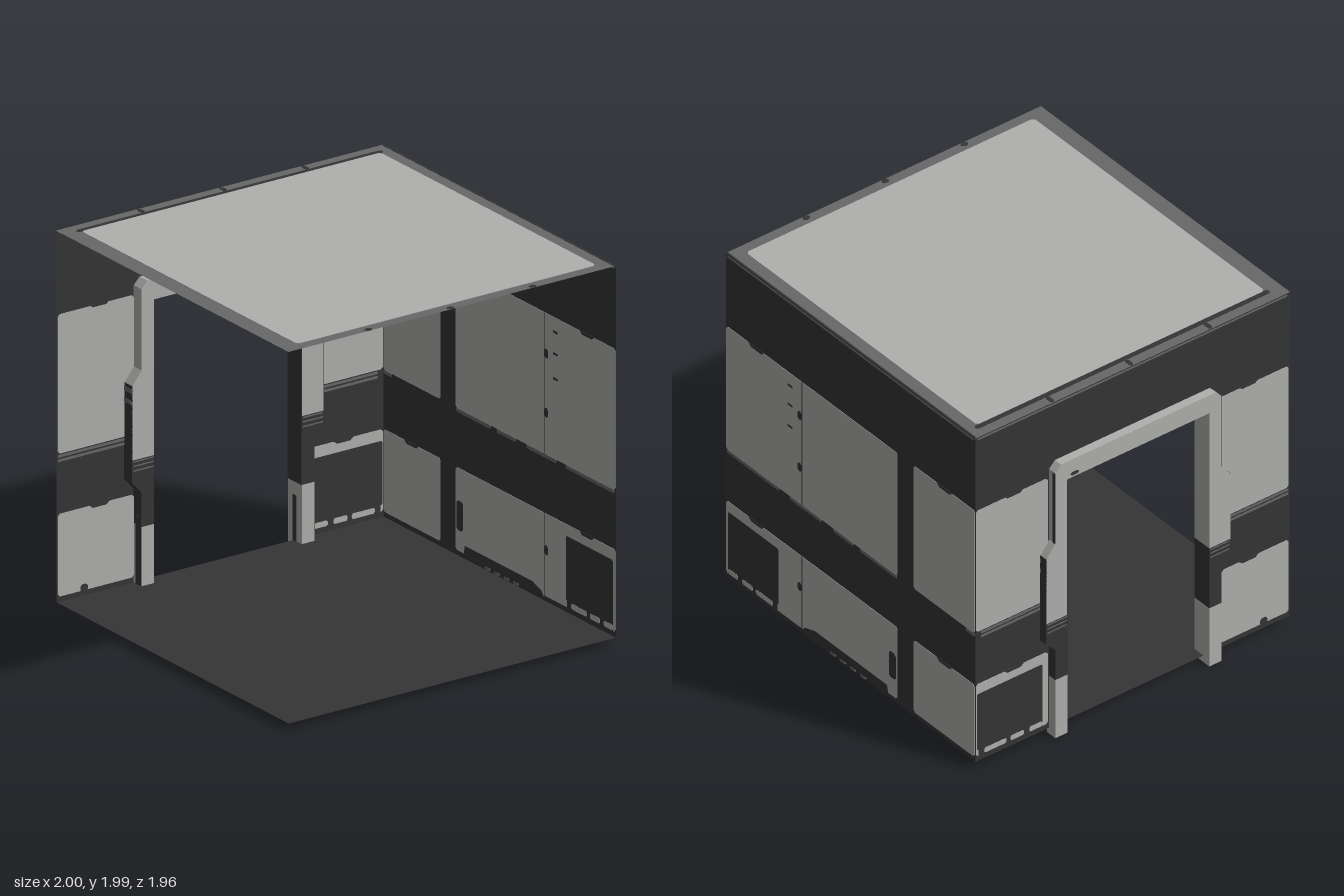
import * as THREE from 'three';

const flat = (name, color) => {
  const m = new THREE.MeshStandardMaterial({ color });
  m.name = name;
  return m;
};

export function createModel() {
  const light = flat('light grey panel', 0xb0b0ae);
  const dark = flat('charcoal', 0x353535);
  const mid = flat('mid grey trim', 0x686868);
  const darkSheet = flat('charcoal sheet', 0x353535);
  const midSheet = flat('mid grey sheet', 0x686868);
  darkSheet.side = midSheet.side = THREE.DoubleSide;

  const room = new THREE.Group();
  room.name = 'room';

  const add = (parent, name, geometry, material) => {
    const mesh = new THREE.Mesh(geometry, material);
    mesh.name = name;
    parent.add(mesh);
    return mesh;
  };
  const toShape = (pts) => new THREE.Shape(pts.map(([x, y]) => new THREE.Vector2(x, y)));

  // Rectangle with cut corners
  const cutRect = (x0, x1, y0, y1, c) => [
    [x0 + c, y0], [x1 - c, y0], [x1, y0 + c], [x1, y1 - c],
    [x1 - c, y1], [x0 + c, y1], [x0, y1 - c], [x0, y0 + c],
  ];
  // Thin plate that shows on both faces of a sheet
  const plate = (parent, name, pts, material, depth = 0.004) => {
    const g = new THREE.ExtrudeGeometry(toShape(pts), { depth, bevelEnabled: false });
    g.translate(0, 0, -depth / 2);
    return add(parent, name, g, material);
  };
  const rect = (parent, name, x0, x1, y0, y1, material, depth, c = 0.012) =>
    plate(parent, name, cutRect(x0, x1, y0, y1, c), material, depth);

  // Dark hatch with the row of light dashes under it
  const hatch = (wall, x0, x1) => {
    rect(wall, 'hatch', x0, x1, 0.105, 0.44, dark, 0.008, 0.006);
    rect(wall, 'hatchFoot', x0 + 0.01, x1, 0.06, 0.108, dark, 0.006, 0.002);
    const w = x1 - x0;
    for (const [a, b] of [[0.11, 0.45], [0.51, 0.72], [0.8, 1]])
      rect(wall, 'hatchDash', x0 + a * w, x0 + b * w, 0.07, 0.1, light, 0.0075, 0.008);
  };
  // Small dark notches in the top edges of the panels
  const notches = (wall, x) => {
    for (const y of [1.55, 0.5])
      plate(wall, 'edgeNotch', [[x - 0.06, y + 0.002], [x - 0.04, y - 0.014], [x + 0.04, y - 0.014], [x + 0.06, y + 0.002]], dark, 0.006);
  };

  // Back wall
  const back = new THREE.Group();
  back.name = 'backWall';
  back.position.z = -0.975;
  room.add(back);
  add(back, 'backSheet', new THREE.ShapeGeometry(toShape([[-0.955, 0.04], [1, 0.04], [1, 1.985], [-0.955, 1.985]])), darkSheet);
  for (const [x0, x1] of [[-0.95, -0.472], [-0.345, 0.997]]) {
    rect(back, 'upperPanel', x0, x1, 0.81, 1.55, light);
    rect(back, 'lowerPanel', x0, x1, 0.067, 0.5, light);
  }
  hatch(back, 0.585, 0.98);
  notches(back, -0.715);
  notches(back, 0.76);
  rect(back, 'latch', -0.335, -0.28, 0.175, 0.33, dark, 0.006);
  plate(back, 'bottomStep', [[-0.275, 0.06], [0.4, 0.06], [0.38, 0.085], [0.3, 0.11], [-0.265, 0.11]], dark, 0.006);
  for (const [y0, y1] of [[0.81, 1.55], [0.067, 0.5]])
    rect(back, 'panelSeam', 0.399, 0.404, y0, y1, dark, 0.006, 0);
  for (const y of [0.31, 1.03, 1.34])
    rect(back, 'rivet', 0.405, 0.435, y - 0.025, y + 0.025, dark, 0.007, 0.01);
  for (const y of [1.23, 1.36, 1.475])
    rect(back, 'scratch', 0.475, 0.515, y - 0.006, y + 0.006, dark, 0.006, 0.003);
  for (const [x0, x1] of [[-0.95, -0.88], [-0.34, -0.05], [0, 0.16], [0.25, 0.5], [0.58, 0.99]])
    rect(back, 'wornEdge', x0, x1, 0.79, 0.809, mid, 0.004, 0.006);
  for (let i = 0; i < 4; i++)
    rect(back, 'bottomChip', -0.1 + i * 0.08, -0.055 + i * 0.08, 0.042, 0.06, mid, 0.006, 0.007);
  rect(back, 'topWornEdge', -0.94, 0.99, 1.967, 1.977, mid, 0.004, 0.003);

  // Side wall with a doorway; its local x runs along the model's z
  const side = new THREE.Group();
  side.name = 'doorWall';
  side.position.x = -0.952;
  side.rotation.y = -Math.PI / 2;
  room.add(side);
  add(side, 'doorSheet', new THREE.ShapeGeometry(toShape([
    [-0.975, 0.04], [-0.49, 0.04], [-0.49, 1.57], [0.49, 1.57], [0.49, 0.04],
    [0.975, 0.04], [0.975, 1.985], [-0.975, 1.985],
  ])), darkSheet);
  for (const [x0, x1] of [[-0.97, -0.525], [0.515, 0.968]]) {
    rect(side, 'upperPanel', x0, x1, 0.815, 1.545, light);
    rect(side, 'lowerPanel', x0, x1, 0.067, 0.5, light);
    for (const y of [0.772, 0.795])
      rect(side, 'wornEdge', x0 + 0.03, x1, y, y + 0.013, mid, 0.004, 0.004);
  }
  hatch(side, -0.965, -0.56);
  notches(side, 0.72);
  notches(side, -0.735);
  rect(side, 'bottomNotch', 0.79, 0.835, 0.06, 0.1, dark, 0.006);
  rect(side, 'topWornEdge', -0.96, 0.96, 1.967, 1.977, mid, 0.004, 0.003);

  // Ceiling and floor
  const lid = new THREE.Group();
  lid.name = 'ceiling';
  lid.position.y = 1.986;
  lid.rotation.x = Math.PI / 2;
  room.add(lid);
  add(lid, 'ceilingSheet', new THREE.ShapeGeometry(toShape([[-0.955, -0.977], [1, -0.977], [1, 0.977], [-0.955, 0.977]])), midSheet);
  rect(lid, 'ceilingPanel', -0.872, 0.94, -0.9, 0.885, light, 0.006, 0.015);
  rect(lid, 'ceilingGroove', -0.9, -0.872, -0.92, 0.9, dark, 0.004, 0.008);
  for (const z of [-0.49, 0, 0.49]) {
    rect(lid, 'edgeChip', -0.953, -0.9, z - 0.012, z + 0.012, dark, 0.004, 0.01);
    rect(lid, 'edgeChip', 0.97, 0.998, z - 0.02, z + 0.02, dark, 0.004, 0.01);
  }
  rect(lid, 'ceilingBackEdge', -0.95, 0.998, -0.977, -0.966, dark, 0.004, 0);
  const floor = add(room, 'floor', new THREE.PlaneGeometry(1.955, 1.95), darkSheet);
  floor.rotation.x = -Math.PI / 2;
  floor.position.set(0.0225, 0.04, 0);

  // Door frame: legs in coloured bands, widening in the middle
  const frame = new THREE.Group();
  frame.name = 'doorFrame';
  frame.position.x = -0.9425;
  frame.rotation.y = -Math.PI / 2;
  room.add(frame);
  const bands = [
    ['frameFoot', light, [[0.515, 0], [0.515, 0.35]]],
    ['frameSleeve', dark, [[0.515, 0.35], [0.515, 0.53], [0.57, 0.59], [0.57, 0.64]]],
    ['frameSleeveTop', dark, [[0.57, 0.64], [0.57, 0.71]]],
    ['framePost', light, [[0.57, 0.71], [0.57, 1.1], [0.515, 1.17], [0.515, 1.525]]],
  ];
  for (const s of [1, -1]) {
    for (const [name, mat, outer] of bands) {
      const y0 = outer[0][1], y1 = outer[outer.length - 1][1];
      const pts = [[0.44, y0], ...outer, [0.44, y1]].map(([z, y]) => [s * z, y]);
      plate(frame, name, pts, mat, 0.115);
    }
    // Painted faces on the outer edge of each leg (x0..x1 across the wall)
    const strip = (name, z, x0, x1, y0, y1, mat) => {
      const m = add(room, name, new THREE.BoxGeometry(x1 - x0, y1 - y0, 0.005), mat);
      m.position.set((x0 + x1) / 2, (y0 + y1) / 2, z * s);
    };
    strip('frameSideBand', 0.57, -1, -0.885, 0.59, 1.1, dark);
    strip('frameSideEdge', 0.515, -1, -0.982, 1.17, 1.59, dark);
    strip('frameFootSlot', 0.515, -0.935, -0.885, 0, 0.4, dark);
    for (const y of [1.0, 1.06])
      strip('frameSideMark', 0.572, -0.96, -0.886, y, y + 0.022, mid);
    // Dark lining on the reveal
    if (s < 0) {
      strip('frameLining', 0.44, -1, -0.885, 0.35, 1.52, dark);
      strip('frameFootLining', 0.44, -0.96, -0.93, 0, 0.28, dark);
    }
    // Faint lines above the sleeve on both faces
    for (const y of [0.65, 0.675, 0.698])
      rect(frame, 'sleeveLine', s > 0 ? 0.445 : -0.565, s > 0 ? 0.565 : -0.445, y, y + 0.007, mid, 0.117, 0);
  }
  plate(frame, 'frameLintel', [[-0.515, 1.525], [0.515, 1.525], [0.515, 1.595], [0.48, 1.632], [-0.48, 1.632], [-0.515, 1.595]], light, 0.115);
  rect(frame, 'lintelChip', -0.42, -0.37, 1.535, 1.555, dark, 0.117, 0.008);

  return room;
}
